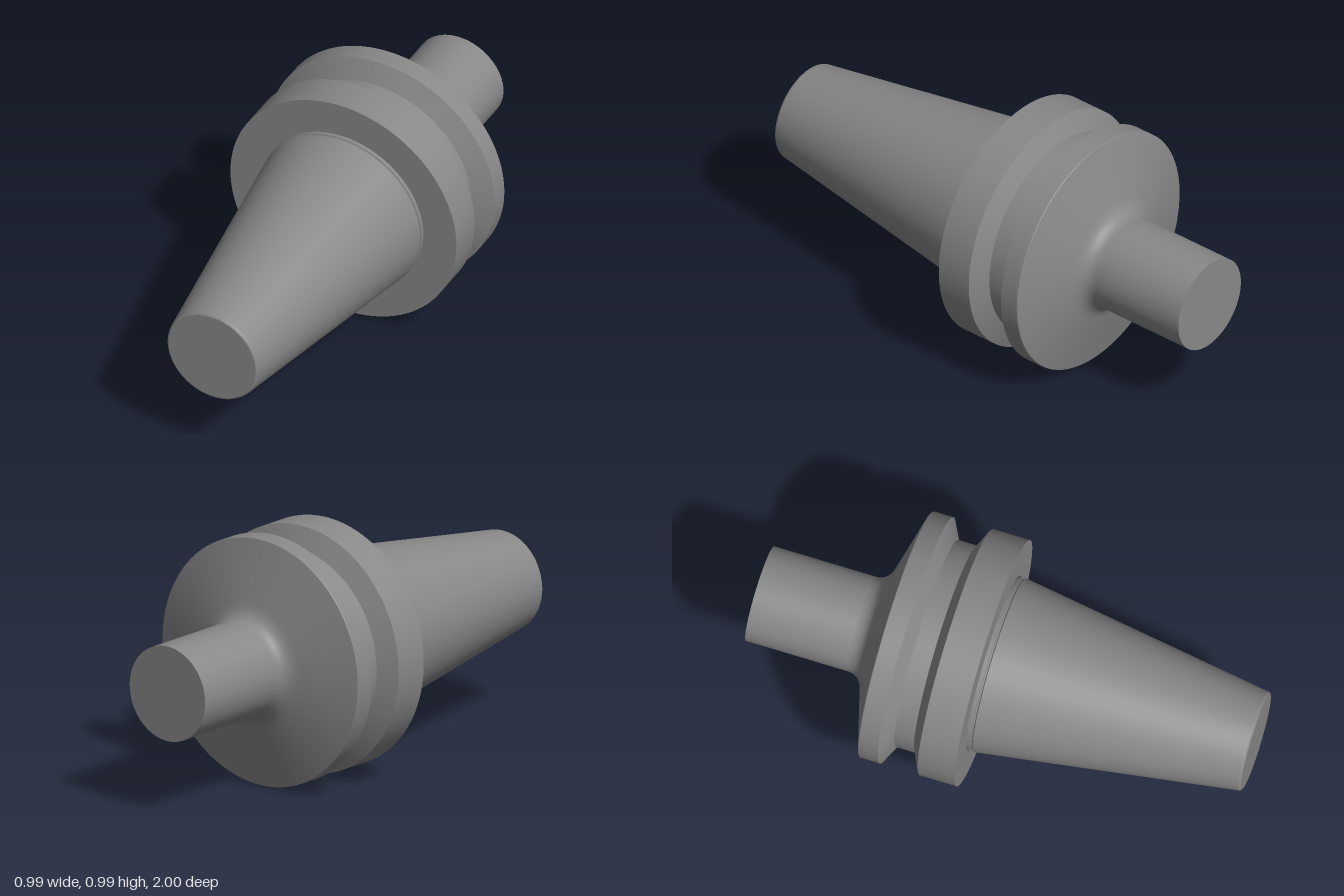
import * as THREE from 'three';

const material = new THREE.MeshStandardMaterial({ color: 0x888888 });
const AXIS_Y = 0.495;

// Turned part: each section is a smooth run of [z, radius] points from back to front;
// separate sections keep the edges between them sharp.
function turned(name, sections) {
  const group = new THREE.Group();
  group.name = name;
  sections.forEach((points, i) => {
    const profile = points.map(([z, r]) => new THREE.Vector2(r, z));
    const geometry = new THREE.LatheGeometry(profile, 96);
    geometry.rotateX(Math.PI / 2);
    const mesh = new THREE.Mesh(geometry, material);
    mesh.name = `${name}Surface${i + 1}`;
    group.add(mesh);
  });
  return group;
}

// Straight sections between successive corners
const corners = (points) => points.slice(1).map((p, i) => [points[i], p]);

export function createModel() {
  const model = new THREE.Group();
  model.name = 'taperToolHolder';

  // Rear shank, blended into the conical back of the flange by a fillet
  const fillet = new THREE.QuadraticBezierCurve(
    new THREE.Vector2(-0.59, 0.19),
    new THREE.Vector2(-0.536, 0.19),
    new THREE.Vector2(-0.518, 0.253)
  ).getPoints(10).map((p) => [p.x, p.y]);
  model.add(turned('shank', [
    [[-1, 0], [-1, 0.19]],
    [[-1, 0.19], [-0.59, 0.19]],
    fillet,
  ]));

  // Flange with a V-sided gripper groove
  model.add(turned('flange', corners([
    [-0.518, 0.253], [-0.449, 0.492], [-0.446, 0.494], [-0.368, 0.494],
    [-0.326, 0.416], [-0.247, 0.416], [-0.208, 0.494],
    [-0.059, 0.494], [-0.059, 0.35],
  ])));

  // Long front taper with a collar, a fine relief groove and a rounded nose
  model.add(turned('taper', [
    ...corners([
      [-0.059, 0.35], [-0.044, 0.35], [-0.042, 0.344], [-0.036, 0.344],
      [-0.032, 0.349], [0.99, 0.199],
    ]),
    [[0.99, 0.199], [0.997, 0.196], [1, 0.19]],
    [[1, 0.19], [1, 0]],
  ]));

  model.position.y = AXIS_Y;
  const root = new THREE.Group();
  root.add(model);
  return root;
}
